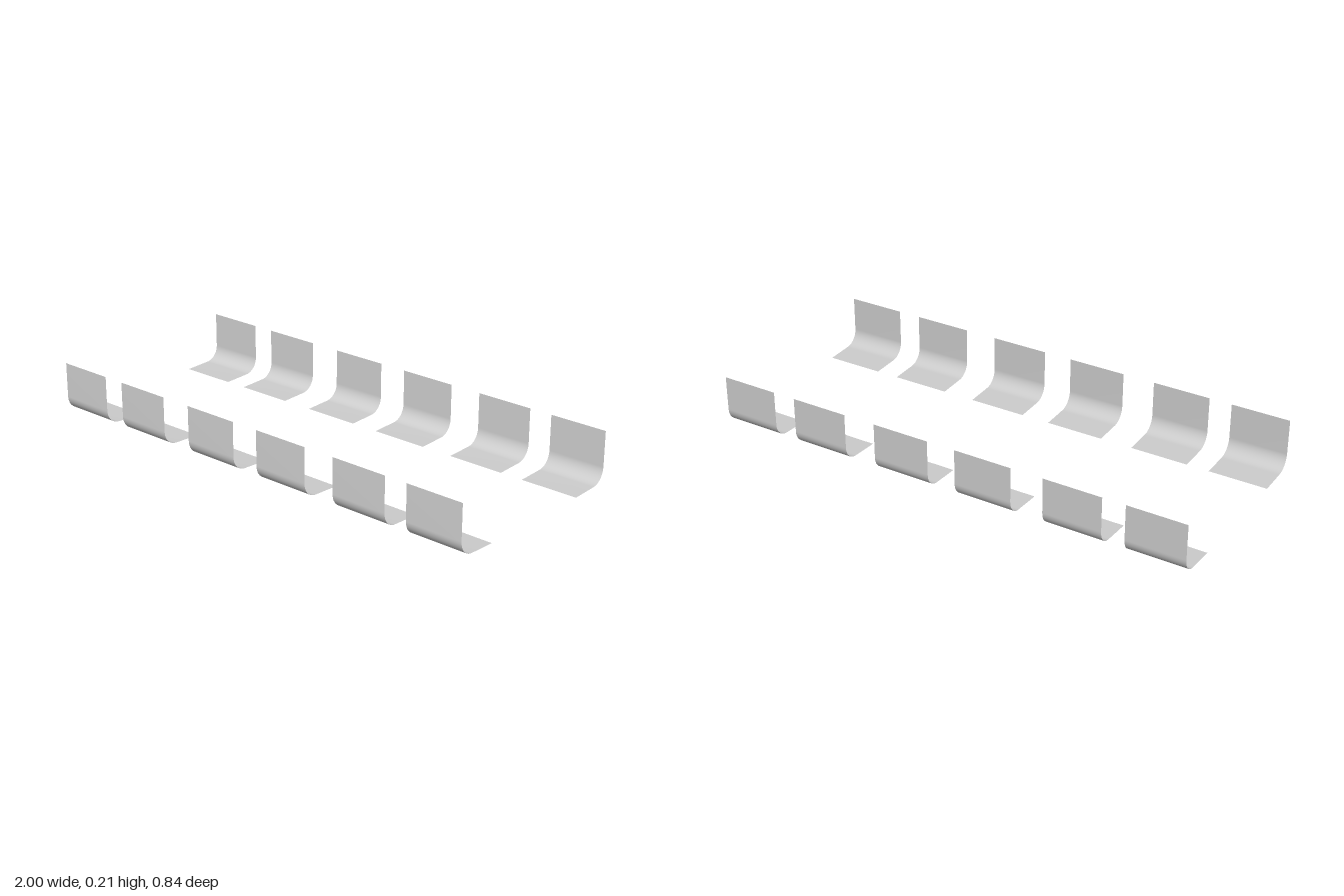
import * as THREE from 'three';

// Side profile of a panel as [z, y], from the upright edge round the bend to the inner lip
function panelProfile() {
  const points = [[-0.42, 0.207]];
  const steps = 10;
  for (let i = 0; i <= steps; i++) {
    const a = (i / steps) * Math.PI / 2;
    points.push([-0.36 - 0.06 * Math.cos(a), 0.065 - 0.061 * Math.sin(a)]);
  }
  points.push([-0.25, 0]);
  return points;
}

// Thin curved sheet: rows of a plane laid along the profile
function panelGeometry(width) {
  const profile = panelProfile();
  const geometry = new THREE.PlaneGeometry(width, 1, 1, profile.length - 1);
  const position = geometry.attributes.position;
  for (let i = 0; i < position.count; i++) {
    const [z, y] = profile[Math.floor(i / 2)];
    position.setXYZ(i, position.getX(i), y, z);
  }
  geometry.computeVertexNormals();
  return geometry;
}

export function createModel() {
  const model = new THREE.Group();
  model.name = 'curvedPanels';
  const material = new THREE.MeshStandardMaterial({ color: 0xcccccc, side: THREE.DoubleSide });
  const geometry = panelGeometry(0.238);
  const centres = [-0.881, -0.551, -0.18, 0.176, 0.548, 0.881];

  // One row along the back, and one turned to face it along the front
  for (const [row, turn] of [['back', 0], ['front', Math.PI]]) {
    const group = new THREE.Group();
    group.name = `${row}Panels`;
    centres.forEach((x, i) => {
      const panel = new THREE.Mesh(geometry, material);
      panel.name = `${row}Panel${i + 1}`;
      panel.position.x = x;
      panel.rotation.y = turn;
      group.add(panel);
    });
    model.add(group);
  }
  return model;
}
